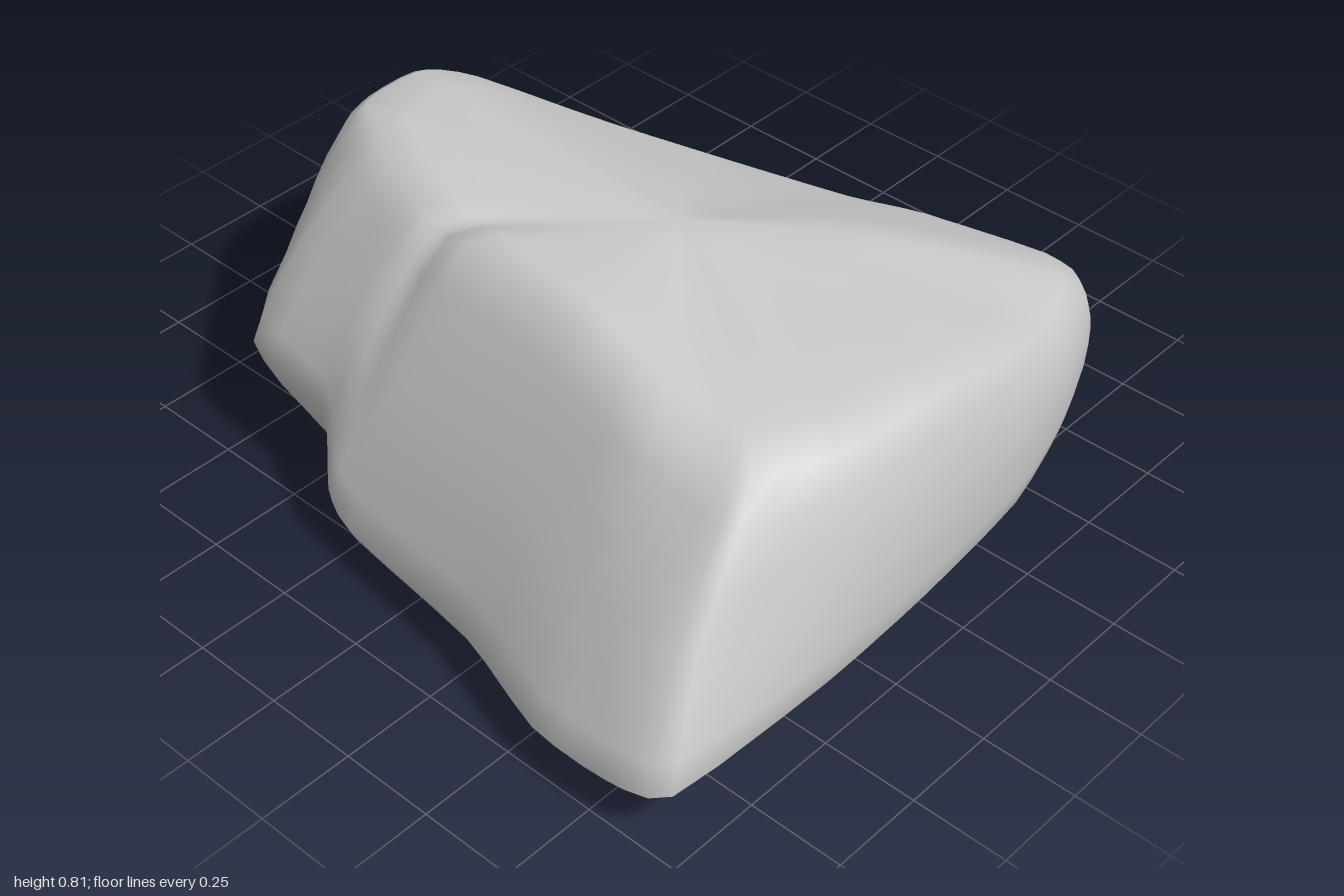
import * as THREE from 'three';
import { mergeVertices } from 'three/addons/utils/BufferGeometryUtils.js';

const V = (x, y, z) => new THREE.Vector3(x, y, z);
const toPoints = (rows) => rows.map((r) => V(...r));

// Widest outline, clockwise from the front left corner (seen from above)
const waist = toPoints([
  [0.95, 0.15, 0.95], [0.8, 0.13, 1], [0.57, 0.12, 0.99], [0.25, 0.12, 0.89],
  [-0.2, 0.12, 0.83], [-0.3, 0.17, 0.8], [-0.42, 0.28, 0.7], [-0.73, 0.3, 0.65],
  [-0.85, 0.36, 0.4], [-0.96, 0.42, 0.15], [-1, 0.47, -0.1], [-0.93, 0.44, -0.27],
  [-0.61, 0.31, -0.57], [-0.33, 0.25, -0.73], [-0.02, 0.21, -0.85], [0.14, 0.18, -0.95],
  [0.55, 0.14, -1], [0.69, 0.12, -0.89], [0.81, 0.11, -0.62], [0.9, 0.12, -0.32],
  [0.97, 0.17, 0.12], [0.99, 0.18, 0.48],
]);

// Edge of the sloping top, station for station
const rim = toPoints([
  [0.82, 0.73, 0.57], [0.7, 0.74, 0.58], [0.51, 0.77, 0.58], [0.25, 0.8, 0.52],
  [-0.14, 0.79, 0.46], [-0.25, 0.75, 0.43], [-0.34, 0.77, 0.42], [-0.6, 0.77, 0.3],
  [-0.77, 0.76, 0.2], [-0.83, 0.73, 0.08], [-0.85, 0.7, -0.08], [-0.8, 0.64, -0.21],
  [-0.54, 0.49, -0.45], [-0.29, 0.42, -0.6], [0.02, 0.4, -0.71], [0.2, 0.38, -0.81],
  [0.53, 0.36, -0.91], [0.66, 0.41, -0.81], [0.79, 0.47, -0.56], [0.87, 0.58, -0.27],
  [0.91, 0.68, 0.05], [0.9, 0.71, 0.37],
]);

const crown = V(0.1, 0.735, 0);
const base = V(0, 0, -0.1);

// Flank: bulges between waist and rim, with a knobbly front left corner
const corner = { 0: V(0.89, 0.43, 0.81), 1: V(0.75, 0.41, 0.85), 2: V(0.57, 0.41, 0.82) };
const flank = waist.map((w, i) => {
  const out = V(w.x, 0, w.z).normalize().multiplyScalar(0.04);
  return corner[i] ?? w.clone().lerp(rim[i], 0.5).add(out);
});

// Inner top: averaged along the rim so the notch fades out, raised at the back left
const innerTop = rim.map((r, i) => {
  const mean = V(0, 0, 0);
  for (let k = -1; k <= 1; k++) mean.add(rim[(i + k + rim.length) % rim.length]);
  const p = r.clone().lerp(mean.divideScalar(3), 0.7).lerp(crown, 0.5);
  p.y += 0.01 + 0.25 * Math.max(0, -p.z) * Math.max(0, p.x);
  return p;
});

// Underside: a shallow bowl, rising most towards the right
const underside = (k) => waist.map((w) => {
  const p = base.clone().lerp(w, k);
  p.y = 0.02 + 0.28 * Math.max(0, -p.x - 0.32) + 0.05 * Math.max(0, p.x)
    + 0.06 * Math.max(0, -p.z - 0.3) + 0.015 * Math.max(0, p.z);
  return p;
});

// Skin: smooth each ring, then smooth down each column from crown to base
function buildSkin(rings, around, perRing) {
  const curves = rings.map((r) => new THREE.CatmullRomCurve3(r, true, 'catmullrom', 0.3));
  const steps = (rings.length + 1) * perRing;
  const positions = [];
  const index = [];
  for (let i = 0; i < around; i++) {
    const column = new THREE.CatmullRomCurve3(
      [crown, ...curves.map((c) => c.getPoint(i / around)), base], false, 'catmullrom', 0.3);
    for (let j = 0; j <= steps; j++) {
      const p = column.getPoint(j / steps);
      positions.push(p.x, Math.max(0, p.y), p.z);
    }
  }
  const at = (i, j) => (i % around) * (steps + 1) + j;
  for (let i = 0; i < around; i++) {
    for (let j = 0; j < steps; j++) {
      const u0 = at(i, j), u1 = at(i + 1, j), l0 = at(i, j + 1), l1 = at(i + 1, j + 1);
      if (j < steps - 1) index.push(u0, l1, l0);
      else index.push(u0, u1, l0);
      if (j > 0 && j < steps - 1) index.push(u0, u1, l1);
    }
  }
  const geometry = new THREE.BufferGeometry();
  geometry.setAttribute('position', new THREE.Float32BufferAttribute(positions, 3));
  geometry.setIndex(index);
  const merged = mergeVertices(geometry, 1e-5);
  merged.computeVertexNormals();
  return merged;
}

export function createModel() {
  const group = new THREE.Group();
  group.name = 'rock';
  const boulder = new THREE.Mesh(
    buildSkin([innerTop, rim, flank, waist, underside(0.88), underside(0.5)], 66, 3),
    new THREE.MeshStandardMaterial({ color: 0xcccccc }));
  boulder.name = 'boulder';
  group.add(boulder);
  return group;
}
